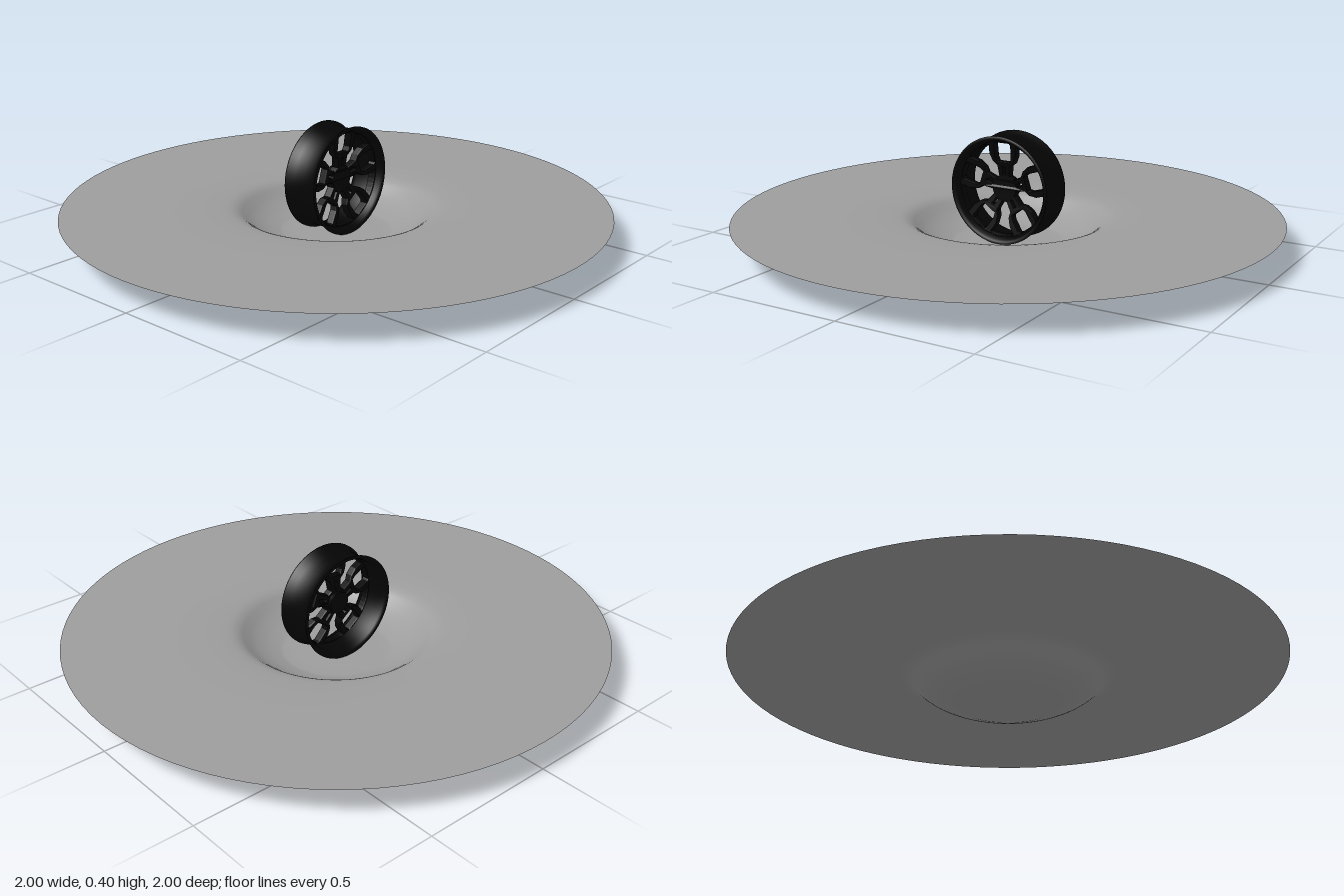
import * as THREE from 'three';

const TAU = Math.PI * 2;
const v2 = (x, y) => new THREE.Vector2(x, y);

// turn a point given in the frame of spoke k (x across, y outward)
function spokePoint([x, y], k, offset = 0) {
  const a = -k * TAU / 5 - offset;
  return v2(x * Math.cos(a) - y * Math.sin(a), x * Math.sin(a) + y * Math.cos(a));
}

export function createModel() {
  const model = new THREE.Group();
  const grey = new THREE.MeshStandardMaterial({ color: 0x9d9d9d, side: THREE.DoubleSide });
  const black = new THREE.MeshStandardMaterial({ color: 0x040404, side: THREE.DoubleSide });

  const add = (parent, name, geometry, material) => {
    const mesh = new THREE.Mesh(geometry, material);
    mesh.name = name;
    parent.add(mesh);
    return mesh;
  };

  // round ground sheet with a smooth, flat-bottomed hollow in the middle
  const slope = new THREE.SplineCurve([
    v2(0.195, 0), v2(0.25, 0.017), v2(0.3, 0.042), v2(0.335, 0.068),
    v2(0.36, 0.086), v2(0.4, 0.098), v2(0.5, 0.105),
  ]).getPoints(18);
  const sheet = [v2(0, 0), v2(0.15, 0), ...slope, v2(0.65, 0.106), v2(1, 0.106)];
  add(model, 'groundSheet', new THREE.LatheGeometry(sheet, 96), grey);

  // wheel, standing upright in the hollow
  const wheel = new THREE.Group();
  wheel.name = 'wheel';
  wheel.position.y = 0.2;
  model.add(wheel);

  // barrel: flared lips at both ends and a narrower middle
  const outer = [[0.186, 0], [0.186, 0.04], [0.2, 0.066], [0.2, 0.07]];
  const inner = [[0.19, 0.071], [0.184, 0.062], [0.177, 0.045], [0.176, 0]];
  const barrel = [
    ...outer, ...inner,
    ...inner.slice(0, -1).reverse().map(([r, z]) => [r, -z]),
    ...outer.slice().reverse().map(([r, z]) => [r, -z]),
  ].map(([r, z]) => v2(r, z));
  add(wheel, 'rimBarrel', new THREE.LatheGeometry(barrel, 80).rotateX(Math.PI / 2), black);

  // face of five forked spokes, cut from a disc
  const face = new THREE.Shape().absarc(0, 0, 0.18, 0, TAU);
  const fork = [[-0.029, 0.173], [-0.035, 0.164], [-0.034, 0.115], [-0.027, 0.098],
    [0.027, 0.098], [0.034, 0.115], [0.035, 0.164], [0.029, 0.173]];
  const slot = [[-0.006, 0.082], [-0.006, 0.05], [0.006, 0.05], [0.006, 0.082]];
  const side = [[0.056, 0.163], [0.055, 0.128], [0.043, 0.1], [0.025, 0.085], [0.02, 0.045]];
  for (let k = 0; k < 5; k++) {
    const gap = [
      ...side.map((p) => spokePoint(p, k)),
      ...side.slice().reverse().map(([x, y]) => spokePoint([-x, y], k + 1)),
      ...[0.2, 0.1, 0, -0.1, -0.2].map((a) => spokePoint([0, 0.173], k + 0.5, a)),
    ];
    for (const points of [gap, ...[fork, slot].map((s) => s.map((p) => spokePoint(p, k)))]) {
      face.holes.push(new THREE.Path(points));
    }
  }
  const spokes = new THREE.ExtrudeGeometry(face, {
    depth: 0.022, bevelEnabled: true, bevelThickness: 0.004, bevelSize: 0.002, bevelSegments: 1, curveSegments: 40,
  });
  // dish the face gently towards the hub
  const pos = spokes.attributes.position;
  for (let i = 0; i < pos.count; i++) {
    const r = Math.hypot(pos.getX(i), pos.getY(i));
    pos.setZ(i, pos.getZ(i) - 0.005 + 0.13 * r);
  }
  spokes.computeVertexNormals();
  add(wheel, 'spokes', spokes, black);

  // hub, centre cap and bolts
  const disc = (name, r1, r2, depth, z, sides) =>
    add(wheel, name, new THREE.CylinderGeometry(r1, r2, depth, sides).rotateX(Math.PI / 2).translate(0, 0, z), black);
  disc('hub', 0.036, 0.042, 0.035, -0.002, 40);
  disc('centreCap', 0.016, 0.018, 0.012, 0.02, 32);
  for (let k = 0; k < 5; k++) {
    const p = spokePoint([0, 0.028], k, TAU / 10);
    disc('bolt', 0.005, 0.005, 0.01, 0.018, 6).position.set(p.x, p.y, 0);
  }
  return model;
}
